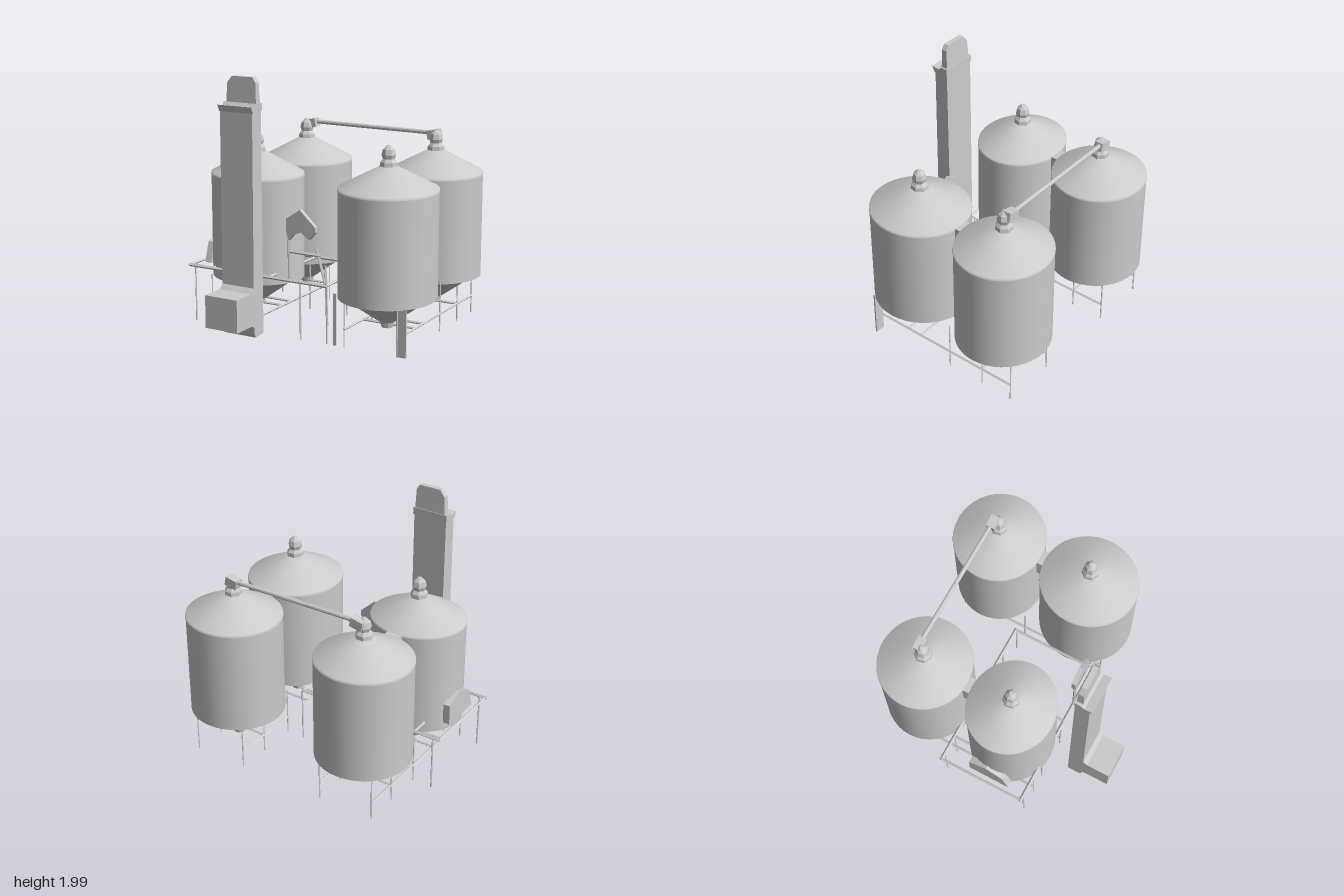
import * as THREE from 'three';

export function createModel() {
  const root = new THREE.Group();
  const smooth = new THREE.MeshStandardMaterial({ color: 0xcccccc, side: THREE.DoubleSide });
  const flat = new THREE.MeshStandardMaterial({ color: 0xcccccc, flatShading: true, side: THREE.DoubleSide });

  function add(name, geometry, material = flat, parent = root) {
    const mesh = new THREE.Mesh(geometry, material);
    mesh.name = name;
    parent.add(mesh);
    return mesh;
  }

  // Square bar or round pipe running between two points
  function bar(name, a, b, t = 0.016, sides = 4) {
    const p = new THREE.Vector3(...a), q = new THREE.Vector3(...b);
    const m = add(name, new THREE.CylinderGeometry(t / 2, t / 2, p.distanceTo(q), sides));
    m.position.copy(p).lerp(q, 0.5);
    m.quaternion.setFromUnitVectors(new THREE.Vector3(0, 1, 0), q.sub(p).normalize());
    return m;
  }

  function lathe(points, sides = 40) {
    return new THREE.LatheGeometry(points.map(p => new THREE.Vector2(...p)), sides);
  }

  // Hopper-bottomed silos: x, z, radius, depth radius
  const silos = [
    [-0.55, -0.64, 0.37, 0.36], [0.62, -0.64, 0.37, 0.36],
    [-0.55, 0.1, 0.37, 0.335], [0.62, 0.145, 0.37, 0.385],
  ];
  silos.forEach(([x, z, r, rz], i) => {
    const silo = new THREE.Group();
    silo.name = 'silo' + (i + 1);
    silo.position.set(x, 0, z);
    const shell = new THREE.Group();
    shell.name = 'siloShell';
    shell.scale.z = rz / r;
    silo.add(shell);
    add('wall', lathe([[r, 0.36], [r, 1.17]]), smooth, shell);
    add('roof', lathe([[r + 0.004, 1.165], [r, 1.185], [0.2, 1.275], [0.065, 1.345], [0, 1.35]]), smooth, shell);
    add('hopper', lathe([[0.06, 0.17], [0.31, 0.35], [r, 0.365]]), smooth, shell);
    add('outlet', lathe([[0, 0.12], [0.045, 0.125], [0.06, 0.19]], 10), flat, silo);
    // Filler cap on the roof peak
    add('fillerNeck', lathe([[0.068, 1.335], [0.065, 1.375], [0.045, 1.4], [0.055, 1.43],
      [0.045, 1.47], [0.015, 1.5], [0, 1.5]], 7), flat, silo);
    if (z < -0.5) {
      const head = add('fillerHead', new THREE.BoxGeometry(0.1, 0.07, 0.07), flat, silo);
      head.position.set(x < 0 ? 0.03 : -0.03, 1.46, -0.03);
      head.rotation.z = 0.2;
    }
    root.add(silo);
  });

  // Conveying pipe joining the two rear fillers
  bar('transferPipe', [-0.52, 1.475, -0.675], [0.6, 1.47, -0.675], 0.034, 10);

  // Small links between front and rear silos at the eaves
  for (const x of [-0.55, 0.62]) {
    const link = add('eaveLink', new THREE.BoxGeometry(0.12, 0.18, 0.07));
    link.position.set(x, 1.09, -0.26);
  }

  // Extrude a side profile of [z, y] points across x
  function sideProfile(name, points, x0, x1) {
    const s = new THREE.Shape(points.map(([z, y]) => new THREE.Vector2(-z, y)));
    const g = new THREE.ExtrudeGeometry(s, { depth: x1 - x0, bevelEnabled: false });
    g.rotateY(Math.PI / 2);
    g.translate(x0, 0, 0);
    return add(name, g);
  }

  // Bucket elevator: shaft with boot, intake box, flared collar and head
  sideProfile('elevatorShaft', [[0.57, 0.06], [0.675, 0.05], [0.69, 0.08], [0.695, 0.13], [0.73, 0.15],
    [0.92, 0.15], [0.92, 0.4], [0.73, 0.4], [0.695, 0.435], [0.69, 1.75], [0.575, 1.75]], -0.485, -0.205);
  sideProfile('elevatorCollar', [[0.57, 1.745], [0.69, 1.735], [0.715, 1.785], [0.65, 1.775], [0.63, 1.8],
    [0.57, 1.8]], -0.49, -0.197);
  const head = new THREE.Shape([[-0.47, 1.78], [-0.21, 1.78], [-0.215, 1.95], [-0.24, 1.99],
    [-0.42, 1.99], [-0.46, 1.94]].map(p => new THREE.Vector2(...p)));
  const headGeo = new THREE.ExtrudeGeometry(head, { depth: 0.055, bevelEnabled: false });
  const pos = headGeo.attributes.position;
  for (let i = 0; i < pos.count; i++) { // lean and thin the head towards its top
    const t = (pos.getY(i) - 1.78) / 0.21;
    pos.setZ(i, pos.getZ(i) * (1 - 0.25 * t) + 0.01 * t);
  }
  headGeo.computeVertexNormals();
  headGeo.translate(0, 0, 0.575);
  add('elevatorHead', headGeo);

  // Upper walkway rails
  for (const z of [-0.3, 0.405]) bar('upperCrossRail', [-1, 0.445, z], [0.25, 0.445, z], 0.028);
  for (const x of [-0.99, -0.78, -0.26, 0.24]) bar('upperSideRail', [x, 0.445, -0.3], [x, 0.445, 0.405], 0.022);

  // Lower rails, cross rails and thin legs under each pair of silos
  for (const [x0, x1] of [[-0.78, -0.32], [0.4, 0.84]]) {
    for (const x of [x0, x1]) {
      bar('lowerSideRail', [x, 0.14, -0.88], [x, 0.14, 0.41], 0.022);
      for (const z of [-0.88, -0.61, -0.3, 0.41]) bar('leg', [x, 0, z], [x, 0.4, z], 0.012);
    }
    for (const z of [-0.61, -0.01, 0.12]) bar('lowerCrossRail', [x0, 0.14, z], [x1, 0.14, z], 0.02);
  }
  for (const [x, z] of [[-0.94, 0.405], [-0.94, -0.3], [-0.63, 0.405], [0.02, 0.405], [0.02, -0.3], [0.25, 0.405],
    [0.25, -0.3]]) bar('walkwayPost', [x, 0, z], [x, 0.445, z], 0.014);

  // Flat support plates at the front right silo
  const plate = add('supportPlate', new THREE.BoxGeometry(0.08, 0.37, 0.012));
  plate.position.set(0.87, 0.185, 0.4);
  const narrow = add('narrowSupport', new THREE.BoxGeometry(0.025, 0.4, 0.012));
  narrow.position.set(0.315, 0.2, 0.4);

  // Access gate with its leaning sign panel
  bar('gatePost', [-0.08, 0.44, 0.4], [-0.08, 0.76, 0.4], 0.025);
  bar('gatePost', [0.16, 0.72, 0.4], [0.24, 0.44, 0.4], 0.025);
  bar('gatePost', [0.235, 0.6, 0.4], [0.25, 0.14, 0.4], 0.02);
  bar('gateRail', [-0.08, 0.67, 0.4], [0.2, 0.67, 0.4], 0.025);
  const panel = new THREE.Shape([[-0.1, 0.92], [0.02, 1.0], [0.08, 0.945], [0.15, 0.88], [0.15, 0.84], [0.1, 0.78],
    [0.03, 0.83], [-0.04, 0.8], [-0.08, 0.75], [-0.1, 0.82]].map(p => new THREE.Vector2(...p)));
  const panelGeo = new THREE.ExtrudeGeometry(panel, { depth: 0.035, bevelEnabled: false });
  add('gatePanel', panelGeo).position.z = 0.375;

  // Bracket plate beside the front left silo
  sideProfile('sideBracket', [[0.27, 0.44], [0.22, 0.6], [0.08, 0.66], [-0.07, 0.6], [-0.07, 0.44]], -0.945, -0.89);

  return root;
}
